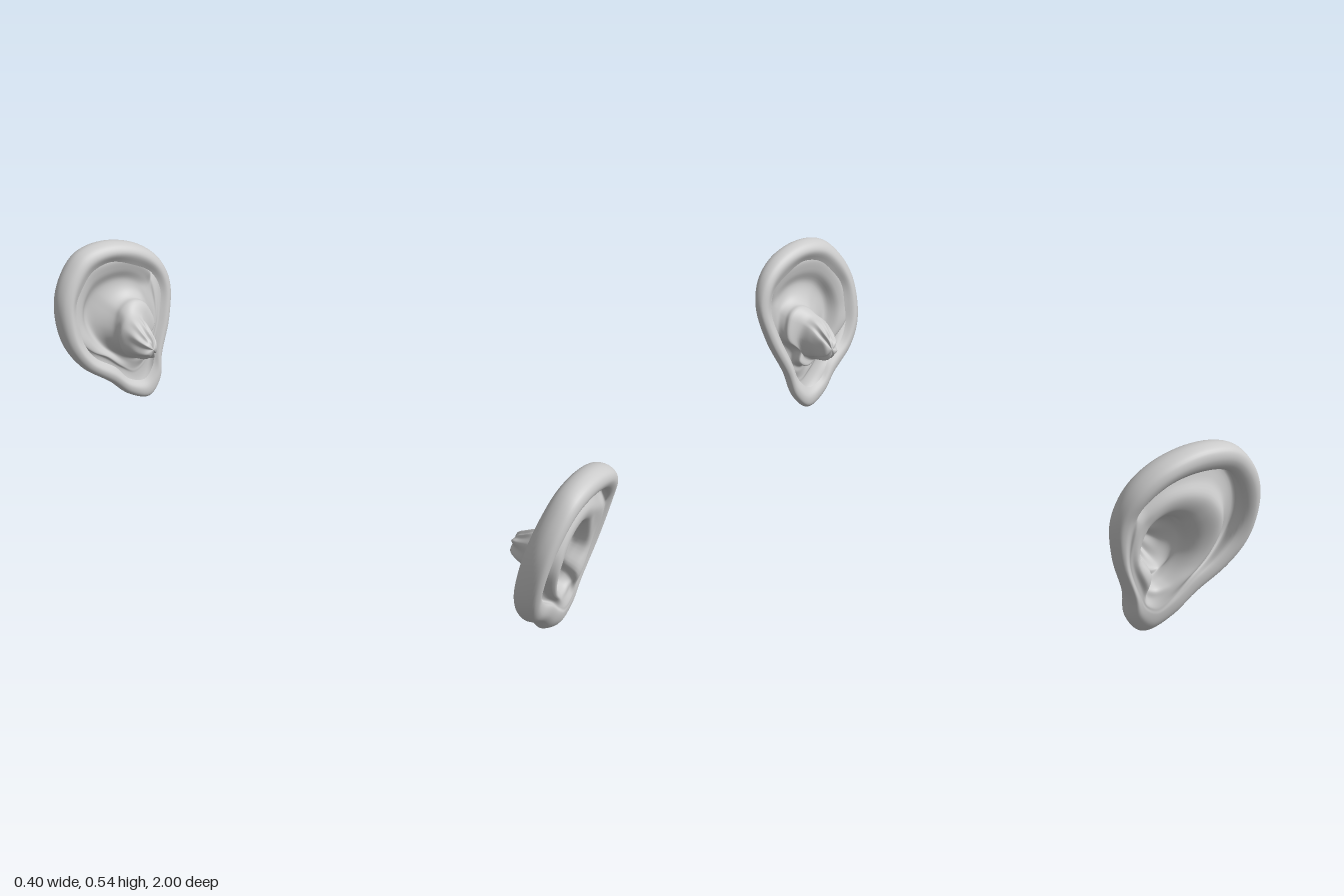
import * as THREE from 'three';

const skin = new THREE.MeshStandardMaterial({ color: 0xcccccc, side: THREE.DoubleSide });
const COLS = 96, ROWS = 84;

// Loops of the auricle as [x, y], counter-clockwise from the front edge of the helix
const outline = [[.2, .37], [.172, .455], [.105, .515], [0, .545], [-.09, .53], [-.15, .475], [-.189, .4], [-.2, .31],
  [-.188, .23], [-.147, .158], [-.065, .088], [-.01, .03], [.058, .002], [.106, .05], [.126, .13], [.176, .25]];
const lip = [[.155, .365], [.14, .412], [.08, .462], [0, .478], [-.075, .465], [-.115, .425], [-.142, .37], [-.153, .31],
  [-.14, .25], [-.1, .195], [-.045, .15], [.005, .1], [.05, .07], [.085, .09], [.108, .14], [.15, .25]];
const antihelix = [[.12, .345], [.1, .375], [.06, .4], [.01, .405], [-.04, .388], [-.068, .36], [-.084, .33], [-.088, .29],
  [-.075, .24], [-.05, .195], [-.018, .16], [.015, .13], [.05, .115], [.08, .125], [.09, .165], [.127, .25]];
const concha = [[.098, .315], [.08, .337], [.052, .347], [.025, .342], [0, .325], [-.015, .3], [-.025, .275], [-.03, .25],
  [-.028, .22], [-.015, .19], [.005, .165], [.027, .15], [.054, .145], [.078, .165], [.07, .2], [.112, .248]];
// At each station: roll of the helix, height of the antihelix ridge, fullness of the lobe
const roll = [0, .6, 1, 1, 1, 1, 1, 1, .9, .5, .2, .1, 0, 0, 0, 0];
const ridge = [.012, .012, .012, .015, .02, .026, .03, .032, .032, .032, .032, .028, .022, .018, .03, .02];
const lobe = [0, 0, 0, 0, 0, 0, 0, 0, 0, .3, .7, 1, 1, .8, .4, 0];

// The auricle leans outward toward its top and its rear edge
const plane = (x, y) => .91 + .17 * (y - .3) - .17 * x;
const mix = (a, b, t) => [a[0] + (b[0] - a[0]) * t, a[1] + (b[1] - a[1]) * t];
const ring = (pos, height) => outline.map((_, i) => {
  const [x, y] = pos(i);
  return new THREE.Vector3(x, y, plane(x, y) + height(i));
});
const canalRing = (x, y, rx, ry, z, fold) => concha.map((c, i) => {
  const a = Math.atan2(c[1] - .24, c[0] - .025);
  const k = 1 + fold * (i % 2 ? -1 : 1);
  return new THREE.Vector3(x + rx * k * Math.cos(a), y + ry * k * Math.sin(a), z + fold * .04 * Math.sin(i * 2));
});

function earRings() {
  const mid = [.01, .29], pit = [.028, .245];
  return [
    // open back edge, rear of the rim and outer edge
    ring(i => mix(mid, outline[i], .77 - .03 * roll[i] + .015 * Math.sin(i * 2.4)), () => -.02),
    ring(i => mix(mid, outline[i], .87), i => -.03 - .01 * roll[i]),
    ring(i => mix(mid, outline[i], .965), i => -.022 - .008 * roll[i]),
    ring(i => outline[i], () => 0),
    // rolled helix and the groove tucked under it
    ring(i => mix(outline[i], lip[i], .18), i => .02 + .01 * roll[i]),
    ring(i => mix(outline[i], lip[i], .55), i => .024 + .015 * roll[i] + .01 * lobe[i]),
    ring(i => lip[i], i => .018 + .006 * roll[i] + .018 * lobe[i]),
    ring(i => mix(lip[i], outline[i], .12 * roll[i] - .15 * (1 - roll[i])), i => .018 - .035 * roll[i] + .016 * lobe[i]),
    ring(i => mix(lip[i], antihelix[i], .45), i => .018 - .025 * roll[i] + .014 * lobe[i]),
    // antihelix ridge and concha bowl
    ring(i => antihelix[i], i => ridge[i]),
    ring(i => mix(antihelix[i], concha[i], .6), i => ridge[i] * .65),
    ring(i => concha[i], () => -.01),
    ring(i => mix(pit, concha[i], .96), () => -.032),
    // ear canal, folded toward its closed tip
    canalRing(.018, .24, .058, .074, .845, 0),
    canalRing(.014, .238, .046, .062, .81, .03),
    canalRing(.012, .232, .034, .044, .775, .1),
    canalRing(.012, .23, .022, .028, .75, .12),
    canalRing(.012, .23, .001, .001, .74, 0),
  ];
}

// Skin the loops with a smooth surface; side = -1 mirrors it in z
function earGeometry(side) {
  const curves = earRings().map(r => new THREE.CatmullRomCurve3(r, true));
  const pos = [], index = [];
  for (let j = 0; j < COLS; j++) {
    const column = new THREE.CatmullRomCurve3(curves.map(c => c.getPoint(j / COLS)));
    for (let i = 0; i <= ROWS; i++) {
      const p = column.getPoint(i / ROWS);
      pos.push(p.x, p.y, p.z * side);
    }
  }
  const at = (j, i) => (j % COLS) * (ROWS + 1) + i;
  for (let j = 0; j < COLS; j++) {
    for (let i = 0; i < ROWS; i++) {
      const a = at(j, i), b = at(j + 1, i), c = at(j + 1, i + 1), d = at(j, i + 1);
      if (side > 0) index.push(a, b, d, b, c, d);
      else index.push(a, d, b, b, d, c);
    }
  }
  const g = new THREE.BufferGeometry();
  g.setAttribute('position', new THREE.Float32BufferAttribute(pos, 3));
  g.setIndex(index);
  g.computeVertexNormals();
  return g;
}

export function createModel() {
  const model = new THREE.Group();
  model.name = 'pairOfEars';
  for (const [name, side] of [['frontEar', 1], ['backEar', -1]]) {
    const ear = new THREE.Mesh(earGeometry(side), skin);
    ear.name = name;
    model.add(ear);
  }
  return model;
}
